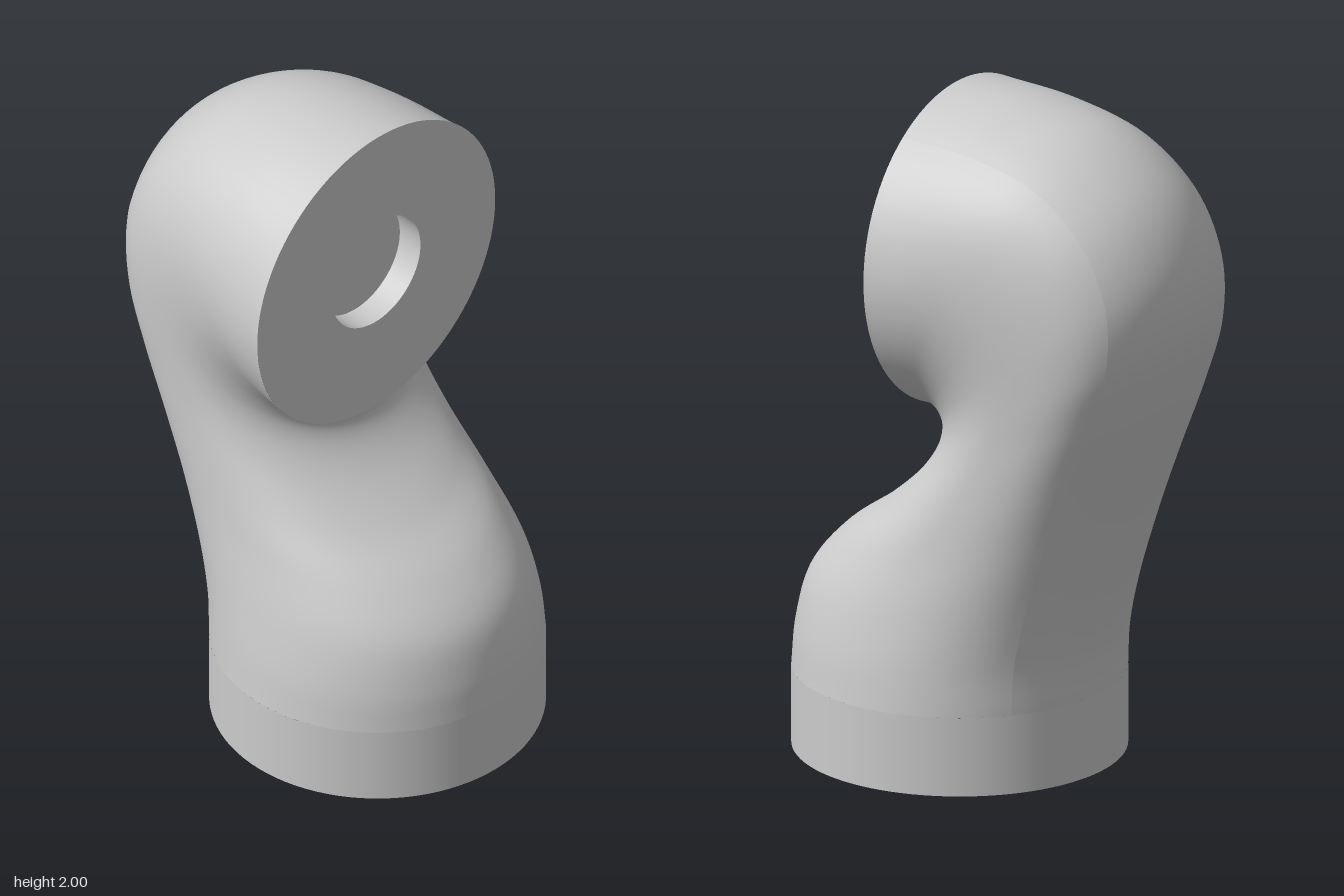
import * as THREE from 'three';

const R = 0.463;          // radius of both end circles
const BASE_Z = 0.16;      // centre of the base
const FACE_Z = 0.155;     // plane of the front face
const FACE_Y = 1.54;
const BASE_Y = 0.072;
const CREASE = 0.64;      // angle where the rounded back meets the sides

// Stations along the bend: inner z, inner y, outer z, outer y, half width
const STATIONS = [
  [0.623, 0.30, -0.303, 0.30, 0.463],
  [0.615, 0.42, -0.31, 0.43, 0.45],
  [0.58, 0.56, -0.345, 0.59, 0.425],
  [0.48, 0.68, -0.41, 0.80, 0.395],
  [0.33, 0.79, -0.48, 1.00, 0.38],
  [0.20, 0.905, -0.56, 1.22, 0.375],
  [0.14, 0.985, -0.61, 1.41, 0.38],
  [0.125, 1.03, -0.60, 1.60, 0.39],
  [0.13, 1.055, -0.51, 1.78, 0.405],
  [0.14, 1.07, -0.33, 1.92, 0.425],
  [0.148, 1.075, -0.10, 1.982, 0.447],
  [FACE_Z, 1.077, FACE_Z, 2.00, 0.463],
];

const inner = new THREE.CatmullRomCurve3(STATIONS.map(s => new THREE.Vector3(0, s[1], s[0])));
const outer = new THREE.CatmullRomCurve3(STATIONS.map(s => new THREE.Vector3(s[4], s[3], s[2])));

// Point on the bend: t runs from base to face, angle runs round the section from the back
function bendPoint(t, angle) {
  const a = inner.getPoint(t);
  const b = outer.getPoint(t);
  const width = b.x;
  b.x = 0;
  const dir = a.clone().sub(b);
  const depth = dir.length();
  dir.normalize();

  const fold = Math.min(Math.abs(angle), 2 * Math.PI - Math.abs(angle));
  let u = R * (1 - Math.cos(fold));
  let x = R * Math.sin(angle);
  if (fold > CREASE) {
    // Squeeze the sides and the inner half to the local width and depth
    const u0 = R * (1 - Math.cos(CREASE));
    u = u0 + (u - u0) * (depth - u0) / (2 * R - u0);
    const k = Math.min(1, (fold - CREASE) / (Math.PI / 2 - CREASE));
    x *= 1 - (1 - width / R) * Math.sin(k * Math.PI / 2);
  }
  const p = b.addScaledVector(dir, u);
  p.x = x;
  return p;
}

// Smooth strip of the bend between two angles
function bendPatch(from, to, around, along = 72) {
  const pos = [], index = [];
  for (let i = 0; i <= along; i++) {
    for (let j = 0; j <= around; j++) {
      const p = bendPoint(i / along, from + (to - from) * j / around);
      pos.push(p.x, p.y, p.z);
    }
  }
  const n = around + 1;
  for (let i = 0; i < along; i++) {
    for (let j = 0; j < around; j++) {
      const a = i * n + j;
      index.push(a, a + n, a + 1, a + 1, a + n, a + n + 1);
    }
  }
  const g = new THREE.BufferGeometry();
  g.setAttribute('position', new THREE.Float32BufferAttribute(pos, 3));
  g.setIndex(index);
  g.computeVertexNormals();
  return g;
}

export function createModel() {
  const group = new THREE.Group();
  const grey = new THREE.MeshStandardMaterial({ color: 0xcccccc });
  const greyInside = new THREE.MeshStandardMaterial({ color: 0xcccccc, side: THREE.BackSide });

  const add = (name, geometry, x, y, z, material = grey) => {
    const mesh = new THREE.Mesh(geometry, material);
    mesh.name = name;
    mesh.position.set(x, y, z);
    group.add(mesh);
    return mesh;
  };

  // Bent body: rounded back strip and the sides wrapping round the inside
  add('bendBack', bendPatch(-CREASE, CREASE, 20), 0, 0, 0);
  add('bendSides', bendPatch(CREASE, 2 * Math.PI - CREASE, 72), 0, 0, 0);

  // Straight base collar and its underside
  const collarHeight = 0.30 - BASE_Y;
  add('baseCollar', new THREE.CylinderGeometry(R, R, collarHeight, 92, 1, true),
    0, BASE_Y + collarHeight / 2, BASE_Z);
  add('baseUnderside', new THREE.CircleGeometry(R, 92), 0, BASE_Y, BASE_Z).rotation.x = Math.PI / 2;

  // Joining peg under the base
  add('peg', new THREE.CylinderGeometry(0.168, 0.168, BASE_Y, 64), 0, BASE_Y / 2, BASE_Z);

  // Front face with its round socket
  const socketR = 0.172, socketDepth = 0.08;
  add('frontFace', new THREE.RingGeometry(socketR, R, 92), 0, FACE_Y, FACE_Z);
  add('socketWall', new THREE.CylinderGeometry(socketR, socketR, socketDepth, 92, 1, true),
    0, FACE_Y, FACE_Z - socketDepth / 2, greyInside).rotation.x = Math.PI / 2;
  add('socketFloor', new THREE.CircleGeometry(socketR, 92), 0, FACE_Y, FACE_Z - socketDepth);

  return group;
}
